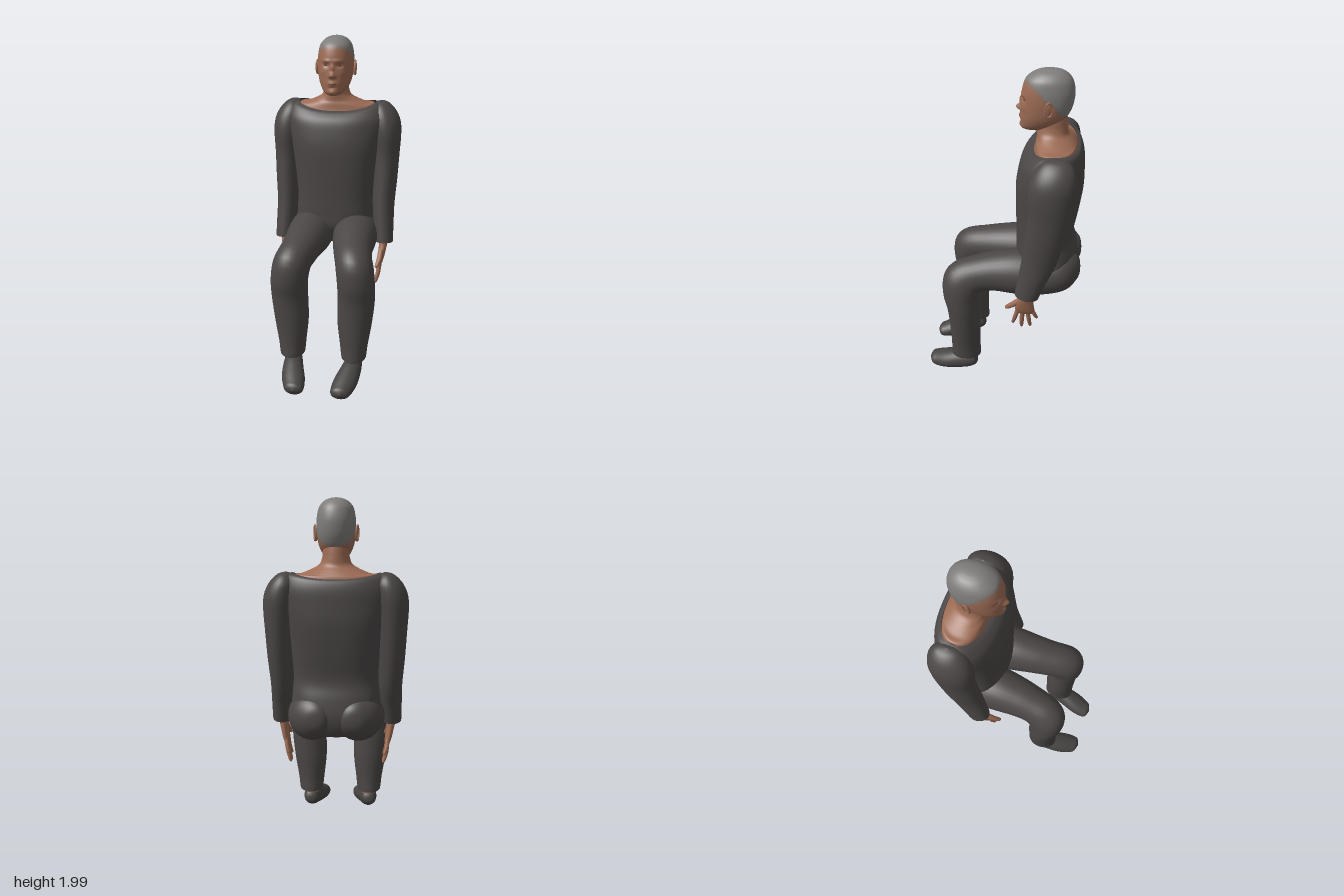
import * as THREE from 'three';

const mat = (name, color) => {
  const m = new THREE.MeshStandardMaterial({ color, side: THREE.DoubleSide });
  m.name = name;
  return m;
};

// Smooth interpolation between four numbers
const spline = (a, b, c, d, t) =>
  b + 0.5 * t * (c - a + t * (2 * a - 5 * b + 4 * c - d + t * (3 * (b - c) + d - a)));

// Skin over oval rings, each [x, y, z, radiusX, radiusZ, tilt, squareness, sideLift].
// Tilt turns the ring from facing down (0) to facing forward (PI / 2).
function loft(rows, { side = 1, cols = 32, steps = 5 } = {}) {
  const full = rows.map(r => [0, 1, 2, 3, 4, 5, 6, 7].map(k => r[k] ?? (k === 6 ? 2 : 0)));
  const rings = [];
  const last = full.length - 1;
  for (let i = 0; i < last; i++) {
    const q = [full[Math.max(i - 1, 0)], full[i], full[i + 1], full[Math.min(i + 2, last)]];
    for (let s = 0; s < steps; s++) {
      rings.push(full[0].map((_, k) => spline(q[0][k], q[1][k], q[2][k], q[3][k], s / steps)));
    }
  }
  rings.push(full[last]);
  const pos = [], index = [];
  rings.forEach(([x, y, z, a, b, tilt, n, lift], i) => {
    for (let j = 0; j < cols; j++) {
      const th = (j / cols) * Math.PI * 2, c = Math.cos(th), s = Math.sin(th);
      const u = Math.max(a, 0.0005) * Math.sign(c) * Math.abs(c) ** (2 / n);
      const v = Math.max(b, 0.0005) * Math.sign(s) * Math.abs(s) ** (2 / n);
      pos.push(x * side + u, y + v * Math.sin(tilt) + lift * c * c, z + v * Math.cos(tilt));
      if (i === 0) continue;
      const k = (j + 1) % cols, p = (i - 1) * cols, r = i * cols;
      index.push(p + j, p + k, r + j, p + k, r + k, r + j);
    }
  });
  const g = new THREE.BufferGeometry();
  g.setAttribute('position', new THREE.Float32BufferAttribute(pos, 3));
  g.setIndex(index);
  g.computeVertexNormals();
  return g;
}

// Head with sculpted face; faces are sorted into skin, stubble edge and hair
function headGeometry() {
  const profile = [ // y, front z, back z, half width
    [2.0, -0.24, -0.25, 0], [1.996, -0.2, -0.29, 0.03], [1.982, -0.16, -0.325, 0.062],
    [1.95, -0.118, -0.356, 0.09], [1.9, -0.099, -0.372, 0.102], [1.85, -0.094, -0.372, 0.105],
    [1.8, -0.092, -0.362, 0.102], [1.75, -0.09, -0.338, 0.093], [1.71, -0.09, -0.3, 0.076],
    [1.685, -0.092, -0.25, 0.056], [1.67, -0.108, -0.22, 0.034], [1.666, -0.16, -0.17, 0]];
  const g = loft(profile.map(([y, f, b, a]) => [0, y, (f + b) / 2, a, (f - b) / 2, 0, 2.15]),
    { cols: 96, steps: 9 });
  const bumps = [ // x, y, width, height, depth
    [0, 1.83, 0.011, 0.022, 0.01], [0, 1.79, 0.014, 0.015, 0.026],
    [0.014, 1.782, 0.008, 0.008, 0.01], [-0.014, 1.782, 0.008, 0.008, 0.01],
    [0.038, 1.842, 0.019, 0.012, -0.012], [-0.038, 1.842, 0.019, 0.012, -0.012],
    [0.034, 1.868, 0.026, 0.009, 0.006], [-0.034, 1.868, 0.026, 0.009, 0.006],
    [0.06, 1.8, 0.018, 0.018, 0.004], [-0.06, 1.8, 0.018, 0.018, 0.004],
    [0, 1.742, 0.024, 0.014, 0.007], [0, 1.718, 0.02, 0.007, -0.004], [0, 1.692, 0.022, 0.012, 0.005]];
  const p = g.attributes.position;
  for (let i = 0; i < p.count; i++) {
    if (p.getZ(i) < -0.2) continue;
    let dz = 0;
    for (const [x, y, w, h, d] of bumps) {
      dz += d * Math.exp(-(((p.getX(i) - x) / w) ** 2) - ((p.getY(i) - y) / h) ** 2);
    }
    p.setZ(i, p.getZ(i) + dz);
  }
  g.computeVertexNormals();
  // Hairline height for each depth, from forehead to nape
  const line = [[-0.1, 1.945], [-0.14, 1.935], [-0.2, 1.895], [-0.225, 1.86], [-0.27, 1.84], [-0.3, 1.785], [-0.34, 1.755], [-0.4, 1.75]];
  const hairline = z => {
    if (z > line[0][0]) return line[0][1];
    const k = line.findIndex(l => l[0] <= z);
    const [z0, y0] = line[k - 1], [z1, y1] = line[k];
    return y0 + ((z - z0) / (z1 - z0)) * (y1 - y0);
  };
  const parts = [[], [], []], idx = g.index.array;
  for (let i = 0; i < idx.length; i += 3) {
    const t = [idx[i], idx[i + 1], idx[i + 2]];
    const y = t.reduce((s, v) => s + p.getY(v), 0) / 3, z = t.reduce((s, v) => s + p.getZ(v), 0) / 3;
    const over = y - hairline(z);
    parts[over < -0.008 ? 0 : over < 0.008 ? 1 : 2].push(...t);
  }
  g.setIndex(parts.flat());
  let start = 0;
  parts.forEach((part, m) => { g.addGroup(start, part.length, m); start += part.length; });
  return g;
}

export function createModel() {
  const cloth = mat('charcoal cloth', 0x4b4746), shoeMat = mat('shoe grey', 0x474443);
  const skin = mat('skin', 0x9c6b54), hair = mat('cropped grey hair', 0x7f7d7b);
  const stubble = mat('hair edge', 0x87736a), lipMat = mat('lips', 0x80503f), eyeMat = mat('eyes', 0x3d2a22);
  const model = new THREE.Group();
  const add = (name, geo, material, parent = model) => {
    const m = new THREE.Mesh(geo, material);
    m.name = name;
    parent.add(m);
    return m;
  };
  const blob = (name, material, at, scale, parent) => {
    const m = add(name, new THREE.SphereGeometry(1, 20, 14), material, parent);
    m.position.set(...at);
    m.scale.set(...scale);
    return m;
  };

  // Shirt body with a wide open neckline
  add('shirt', loft([
    [0, 1.58, -0.287, 0.235, 0.118, -0.08, 2.3, 0.035], [0, 1.57, -0.284, 0.272, 0.142, -0.08, 2.3, 0.03],
    [0, 1.525, -0.275, 0.3, 0.168, -0.04, 2.3, 0.01], [0, 1.45, -0.268, 0.295, 0.181, 0, 2.3],
    [0, 1.35, -0.262, 0.27, 0.188, 0, 2.4], [0, 1.2, -0.254, 0.248, 0.178, 0, 2.4],
    [0, 1.05, -0.246, 0.235, 0.165, 0, 2.4], [0, 0.95, -0.258, 0.242, 0.176, 0, 2.4],
    [0, 0.86, -0.268, 0.245, 0.178, 0, 2.3], [0, 0.78, -0.29, 0.2, 0.14], [0, 0.73, -0.3, 0.13, 0.09],
    [0, 0.715, -0.3, 0, 0]], { cols: 48 }), cloth);

  // Neck spreading into the bare shoulders
  add('neck', loft([
    [0, 1.78, -0.265, 0.066, 0.07], [0, 1.73, -0.262, 0.07, 0.08], [0, 1.69, -0.262, 0.074, 0.084],
    [0, 1.655, -0.265, 0.09, 0.086], [0, 1.63, -0.278, 0.135, 0.097], [0, 1.61, -0.285, 0.185, 0.108, 0, 2.2],
    [0, 1.585, -0.287, 0.226, 0.115, -0.08, 2.3, 0.018], [0, 1.54, -0.287, 0.235, 0.125, 0, 2.3]], { cols: 40 }), skin);

  // Head and face
  const head = new THREE.Group();
  head.name = 'head';
  model.add(head);
  add('face and scalp', headGeometry(), [skin, stubble, hair], head);
  blob('lips', lipMat, [0, 1.742, -0.088], [0.024, 0.006, 0.006], head);

  for (const side of [1, -1]) {
    const label = side > 0 ? 'left' : 'right';
    const limb = (name, rows, material, opts = {}, parent = model) =>
      add(`${label} ${name}`, loft(rows, { side, ...opts }), material, parent);

    blob(`${label} eye`, eyeMat, [side * 0.038, 1.841, -0.114], [0.013, 0.0045, 0.006], head);
    const ear = blob(`${label} ear`, skin, [side * 0.106, 1.815, -0.243], [0.008, 0.042, 0.023], head);
    ear.rotation.set(-0.15, side * 0.3, 0);
    const rim = add(`${label} ear rim`, new THREE.TorusGeometry(0.026, 0.005, 8, 24), skin, head);
    rim.position.set(side * 0.112, 1.818, -0.245);
    rim.rotation.set(0, Math.PI / 2 + side * 0.3, 0);
    rim.scale.set(0.75, 1.45, 1);

    // Sleeve, with the cuff folded inwards
    limb('sleeve', [
      [0.262, 1.62, -0.305, 0, 0], [0.27, 1.608, -0.305, 0.036, 0.06], [0.277, 1.565, -0.3, 0.075, 0.102],
      [0.293, 1.5, -0.292, 0.09, 0.122], [0.3, 1.42, -0.285, 0.09, 0.125], [0.304, 1.3, -0.28, 0.08, 0.115],
      [0.303, 1.15, -0.26, 0.074, 0.107, 0.1], [0.3, 1, -0.233, 0.067, 0.096, 0.15],
      [0.306, 0.88, -0.2, 0.062, 0.08, 0.15], [0.313, 0.78, -0.174, 0.056, 0.07, 0.15],
      [0.313, 0.775, -0.173, 0.052, 0.066, 0.15], [0.313, 0.79, -0.175, 0.028, 0.04, 0.15]], cloth);

    // Hand hanging with spread fingers
    const hand = new THREE.Group();
    hand.name = `${label} hand`;
    model.add(hand);
    limb('palm', [
      [0.312, 0.82, -0.178, 0.026, 0.038], [0.311, 0.765, -0.171, 0.026, 0.036], [0.306, 0.72, -0.163, 0.023, 0.047],
      [0.298, 0.665, -0.16, 0.02, 0.057], [0.291, 0.628, -0.163, 0.015, 0.052], [0.289, 0.612, -0.163, 0, 0.03]],
    skin, { cols: 24 }, hand);
    const fingers = [ // name, root, tip, radius
      ['index finger', [0.292, 0.65, -0.122], [0.271, 0.52, -0.088], 0.0125],
      ['middle finger', [0.292, 0.645, -0.148], [0.268, 0.495, -0.141], 0.013],
      ['ring finger', [0.292, 0.645, -0.176], [0.268, 0.505, -0.194], 0.0125],
      ['little finger', [0.292, 0.66, -0.2], [0.272, 0.572, -0.234], 0.011],
      ['thumb', [0.3, 0.725, -0.135], [0.28, 0.64, -0.045], 0.016]];
    for (const [name, from, to, r] of fingers) {
      const tilt = Math.atan2(to[2] - from[2], from[1] - to[1]);
      limb(name, [[0, 1], [0.5, 1.02], [0.85, 0.8], [0.96, 0.55], [1, 0]].map(([t, w]) => [
        from[0] + (to[0] - from[0]) * t + 0.006 * Math.sin(t * Math.PI),
        from[1] + (to[1] - from[1]) * t, from[2] + (to[2] - from[2]) * t, r * w, r * w, tilt]),
      skin, { cols: 12, steps: 3 }, hand);
    }

    // Trouser leg from buttock through bent knee to cuff
    limb('trouser leg', [
      [0.1, 0.85, -0.466, 0, 0, 1.5], [0.105, 0.85, -0.452, 0.06, 0.065, 1.5], [0.122, 0.838, -0.38, 0.122, 0.125, 1.5],
      [0.134, 0.815, -0.25, 0.138, 0.135, 1.57], [0.14, 0.812, -0.1, 0.135, 0.138, 1.57],
      [0.148, 0.807, 0.03, 0.121, 0.12, 1.5], [0.16, 0.789, 0.125, 0.112, 0.112, 1.35],
      [0.183, 0.745, 0.21, 0.111, 0.127, 0.68], [0.195, 0.66, 0.233, 0.109, 0.108, 0.1],
      [0.197, 0.55, 0.221, 0.108, 0.097], [0.189, 0.4, 0.215, 0.101, 0.094], [0.186, 0.26, 0.215, 0.083, 0.09],
      [0.186, 0.185, 0.215, 0.075, 0.093], [0.186, 0.175, 0.215, 0.07, 0.088], [0.186, 0.195, 0.215, 0.045, 0.055]], cloth);

    // Ankle and soft shoe with the toe pointing down
    limb('ankle', [[0.185, 0.24, 0.21, 0.042, 0.05], [0.185, 0.18, 0.21, 0.043, 0.052],
      [0.183, 0.12, 0.212, 0.044, 0.054]], skin, { cols: 24 });
    limb('shoe', [
      [0.186, 0.128, 0.147, 0, 0, 1.3], [0.186, 0.124, 0.157, 0.036, 0.036, 1.3], [0.183, 0.113, 0.2, 0.052, 0.056, 1.35],
      [0.173, 0.096, 0.27, 0.062, 0.062, 1.4], [0.156, 0.072, 0.35, 0.07, 0.056, 1.4],
      [0.141, 0.054, 0.415, 0.062, 0.047, 1.45], [0.136, 0.053, 0.45, 0.047, 0.032, 1.5],
      [0.135, 0.056, 0.467, 0, 0, 1.5]], shoeMat);
  }
  return model;
}
